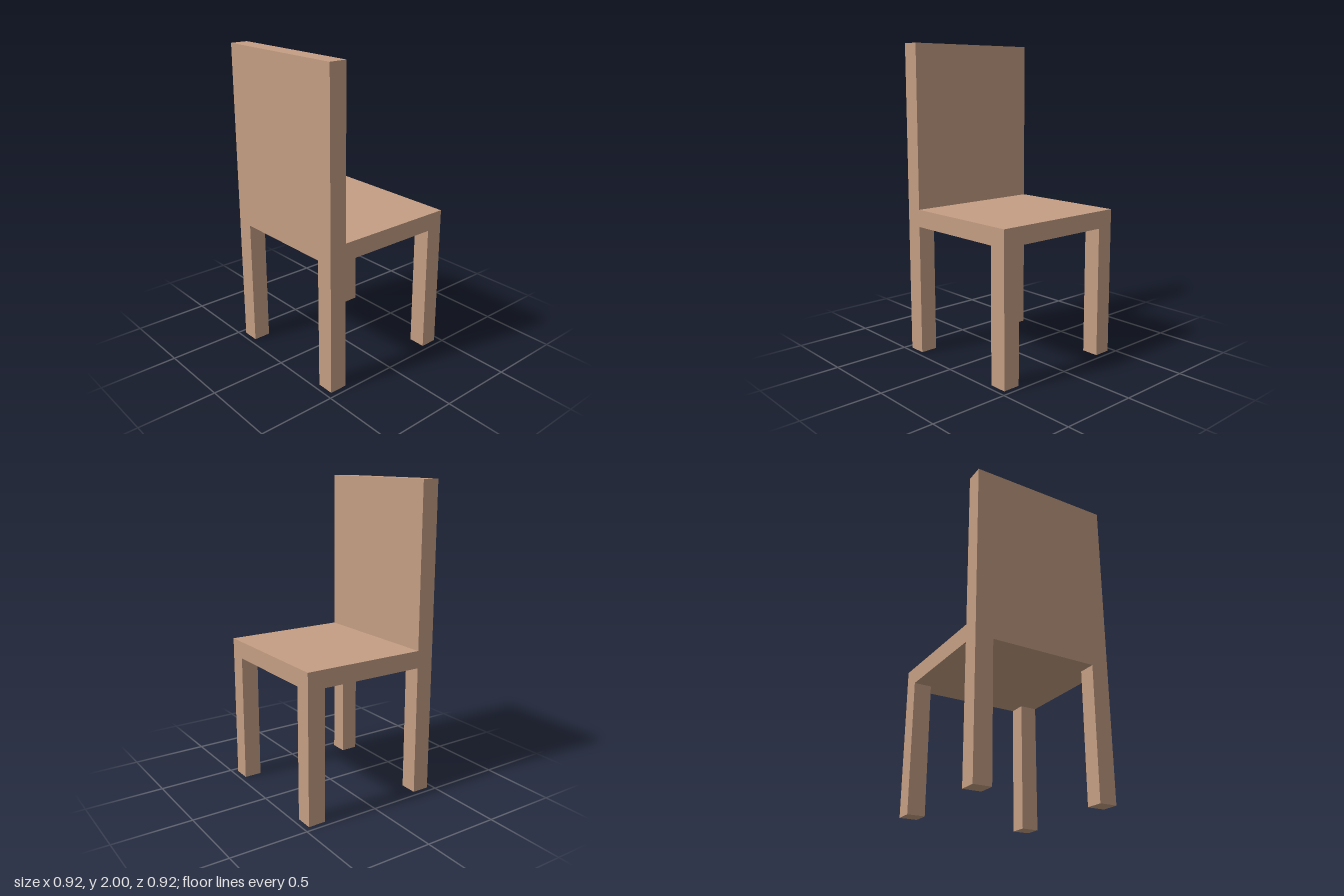
import * as THREE from 'three';

const HALF = 0.462;        // half the width of the square seat
const THICK = 0.114;       // thickness of legs and backrest
const SEAT_BOTTOM = 0.845;
const SEAT_TOP = 0.957;
const HEIGHT = 2;

export function createModel() {
  const chair = new THREE.Group();
  chair.name = 'chair';
  const wood = new THREE.MeshStandardMaterial({ color: 0xc49e83 });
  wood.name = 'light wood';

  // Box standing on height y0, centred on x and z
  const addBox = (name, w, d, y0, y1, x, z) => {
    const mesh = new THREE.Mesh(new THREE.BoxGeometry(w, y1 - y0, d), wood);
    mesh.name = name;
    mesh.position.set(x, (y0 + y1) / 2, z);
    chair.add(mesh);
  };

  const edge = HALF - THICK / 2;

  // Seat slab and the backrest standing on its -x edge
  addBox('seat', HALF * 2, HALF * 2, SEAT_BOTTOM, SEAT_TOP, 0, 0);
  addBox('backrest', THICK, HALF * 2, SEAT_TOP, HEIGHT, -edge, 0);

  // Four square legs flush with the seat corners
  for (const sx of [-1, 1]) {
    for (const sz of [-1, 1]) {
      const name = (sx < 0 ? 'backrestSide' : 'openSide') + (sz < 0 ? 'RearLeg' : 'FrontLeg');
      addBox(name, THICK, THICK, 0, SEAT_BOTTOM, sx * edge, sz * edge);
    }
  }
  return chair;
}
